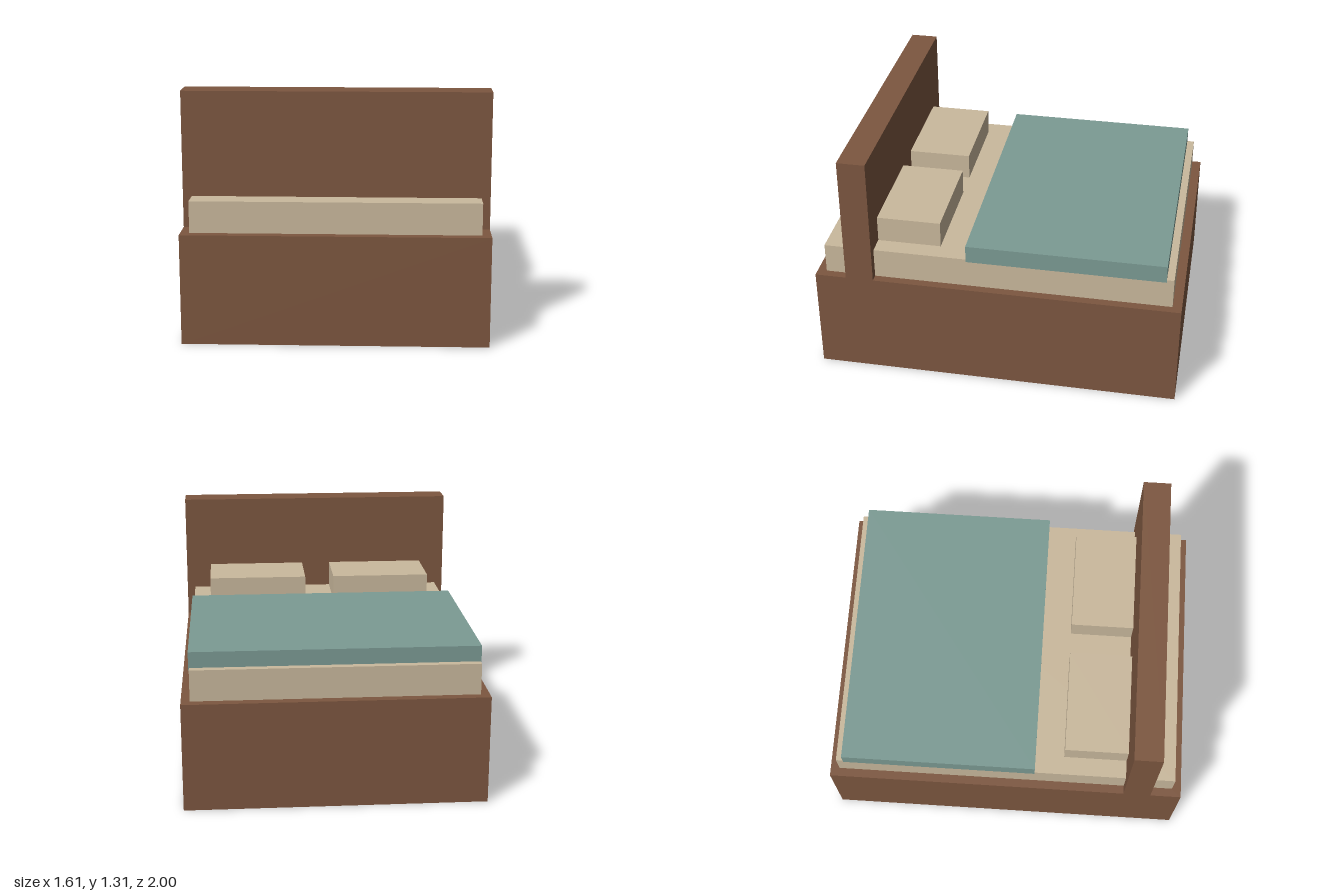
import * as THREE from 'three';

const material = (name, color) => {
  const m = new THREE.MeshStandardMaterial({ color });
  m.name = name;
  return m;
};

export function createModel() {
  const bed = new THREE.Group();
  bed.name = 'bed';
  const wood = material('brown wood', 0x7d5740);
  const linen = material('beige linen', 0xcab99d);
  const wool = material('teal blanket', 0x7c9b94);

  // Box given by its [min, max] extents on each axis
  const addBox = (name, mat, [x0, x1], [y0, y1], [z0, z1]) => {
    const mesh = new THREE.Mesh(new THREE.BoxGeometry(x1 - x0, y1 - y0, z1 - z0), mat);
    mesh.position.set((x0 + x1) / 2, (y0 + y1) / 2, (z0 + z1) / 2);
    mesh.name = name;
    bed.add(mesh);
  };

  // Solid base and upright headboard
  addBox('bedBase', wood, [-0.803, 0.803], [0, 0.587], [-1, 1]);
  addBox('headboard', wood, [-0.803, 0.803], [0.587, 1.31], [0.675, 0.828]);

  // Mattress runs through the headboard to the far end
  addBox('mattress', linen, [-0.756, 0.756], [0.587, 0.755], [-0.95, 0.95]);

  // Blanket slightly overlaps the mattress top
  addBox('blanket', wool, [-0.76, 0.76], [0.742, 0.84], [-0.91, 0.165]);

  // Pair of pillows against the headboard
  addBox('leftPillow', linen, [0.085, 0.655], [0.755, 0.9], [0.325, 0.69]);
  addBox('rightPillow', linen, [-0.655, -0.085], [0.755, 0.9], [0.325, 0.69]);

  return bed;
}
